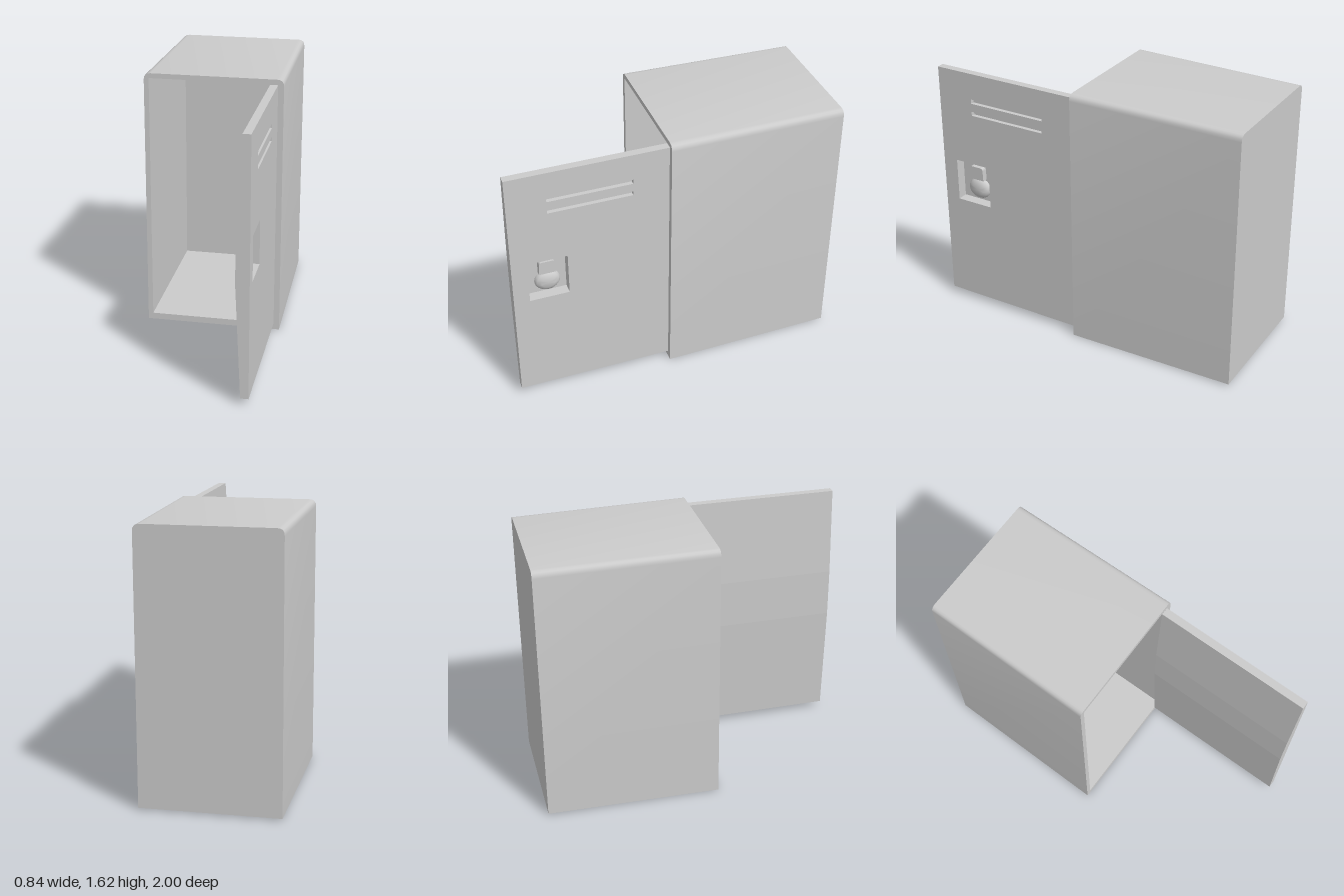
import * as THREE from 'three';
import { toCreasedNormals } from 'three/addons/utils/BufferGeometryUtils.js';

const grey = new THREE.MeshStandardMaterial({ color: 0xcccccc, side: THREE.DoubleSide });
// liner walls face into their cavity
const inward = new THREE.MeshStandardMaterial({ color: 0xcccccc, side: THREE.BackSide });

function add(parent, name, geometry, material = grey) {
  const mesh = new THREE.Mesh(geometry, material);
  mesh.name = name;
  parent.add(mesh);
  return mesh;
}

// Remove the triangles lying in the plane axis = value, leaving an open shell
function openFace(geometry, axis, value) {
  const src = geometry.index ? geometry.toNonIndexed() : geometry;
  const p = src.attributes.position.array;
  const kept = [];
  for (let i = 0; i < p.length; i += 9) {
    const inPlane = [0, 3, 6].every((k) => Math.abs(p[i + k + axis] - value) < 1e-4);
    if (!inPlane) kept.push(...p.slice(i, i + 9));
  }
  const out = new THREE.BufferGeometry();
  out.setAttribute('position', new THREE.Float32BufferAttribute(kept, 3));
  out.computeVertexNormals();
  return out;
}

const polygon = (points) => new THREE.Shape(points.map(([x, y]) => new THREE.Vector2(x, y)));
const rect = ([x0, y0, x1, y1]) => polygon([[x0, y0], [x1, y0], [x1, y1], [x0, y1]]);

// Five-walled cavity, open towards +z at the plane z = front
function cavity([x0, y0, x1, y1], depth, front = 0) {
  const box = new THREE.BoxGeometry(x1 - x0, y1 - y0, depth);
  box.translate((x0 + x1) / 2, (y0 + y1) / 2, front - depth / 2);
  return openFace(box, 2, front);
}

function createCabinet() {
  const cabinet = new THREE.Group();
  cabinet.name = 'cabinet';
  const front = 0.055, back = -1;
  const opening = [-0.39, 0.04, 0.385, 1.585];

  const outline = () => {
    const s = new THREE.Shape();
    s.moveTo(-0.42, 0);
    s.lineTo(0.42, 0);
    s.lineTo(0.42, 1.575);
    s.quadraticCurveTo(0.42, 1.615, 0.38, 1.615);
    s.lineTo(-0.38, 1.615);
    s.quadraticCurveTo(-0.42, 1.615, -0.42, 1.575);
    return s;
  };

  // outer casing, narrowing slightly to the back
  const casing = new THREE.ExtrudeGeometry(outline(), {
    depth: front - back, bevelEnabled: false, curveSegments: 4,
  });
  casing.translate(0, 0, back);
  const p = casing.attributes.position;
  for (let i = 0; i < p.count; i++) {
    const t = (front - p.getZ(i)) / (front - back);
    p.setX(i, p.getX(i) * (1 - 0.03 * t));
    p.setY(i, 0.8 + (p.getY(i) - 0.8) * (1 - 0.012 * t));
  }
  add(cabinet, 'casing', toCreasedNormals(openFace(casing, 2, front), 0.6));

  // front rim around the opening, and the hollow behind it
  const rim = outline();
  rim.holes.push(rect(opening));
  add(cabinet, 'frontRim', new THREE.ShapeGeometry(rim, 4)).position.z = front;
  add(cabinet, 'interior', cavity(opening, 1.015, front), inward);
  return cabinet;
}

function createDoor() {
  const door = new THREE.Group();
  door.name = 'door';
  const face = 0.385;

  // leaf with a thickened middle on its inner side, open on the outer face
  const profile = polygon([
    [face, 0.04], [face, 1.582], [0.338, 1.582], [0.308, 1.04], [0.305, 0.74], [0.338, 0.04],
  ]);
  const leaf = new THREE.ExtrudeGeometry(profile, { depth: 0.945, bevelEnabled: false });
  leaf.translate(0, 0, 0.055);
  add(door, 'doorLeaf', openFace(leaf, 0, face));

  // outer side: local x runs towards the hinge, local z points outwards
  const outer = new THREE.Group();
  outer.name = 'doorOuterSide';
  outer.rotation.y = Math.PI / 2;
  outer.position.x = face;
  door.add(outer);

  const recess = [-0.905, 0.715, -0.668, 0.985];
  const slots = [[-0.77, 1.39, -0.27, 1.418], [-0.77, 1.312, -0.27, 1.338]];
  const panel = rect([-1, 0.04, -0.055, 1.582]);
  panel.holes.push(rect(recess), ...slots.map(rect));
  add(outer, 'doorFace', new THREE.ShapeGeometry(panel));
  add(outer, 'handleRecess', cavity(recess, 0.065), inward);
  slots.forEach((s) => add(outer, 'ventSlot', cavity(s, 0.025), inward));

  // round knob
  const knobProfile = [[0.076, 0], [0.076, 0.012], [0.066, 0.026], [0.042, 0.037], [0, 0.04]];
  const knob = new THREE.LatheGeometry(knobProfile.map(([r, h]) => new THREE.Vector2(r, h)), 24);
  knob.rotateX(Math.PI / 2);
  knob.scale(1, 0.89, 1);
  add(outer, 'knob', toCreasedNormals(knob, 0.7)).position.set(-0.782, 0.798, -0.065);

  // latch tab above the knob
  const tab = new THREE.Shape();
  tab.moveTo(-0.05, 0);
  tab.lineTo(0.05, 0);
  tab.lineTo(0.047, 0.068);
  tab.quadraticCurveTo(0.046, 0.085, 0.03, 0.085);
  tab.lineTo(-0.03, 0.085);
  tab.quadraticCurveTo(-0.046, 0.085, -0.047, 0.068);
  const latch = new THREE.ExtrudeGeometry(tab, { depth: 0.035, bevelEnabled: false, curveSegments: 4 });
  add(outer, 'latch', latch).position.set(-0.785, 0.865, -0.065);
  return door;
}

export function createModel() {
  const model = new THREE.Group();
  model.name = 'locker';
  model.add(createCabinet(), createDoor());
  return model;
}
